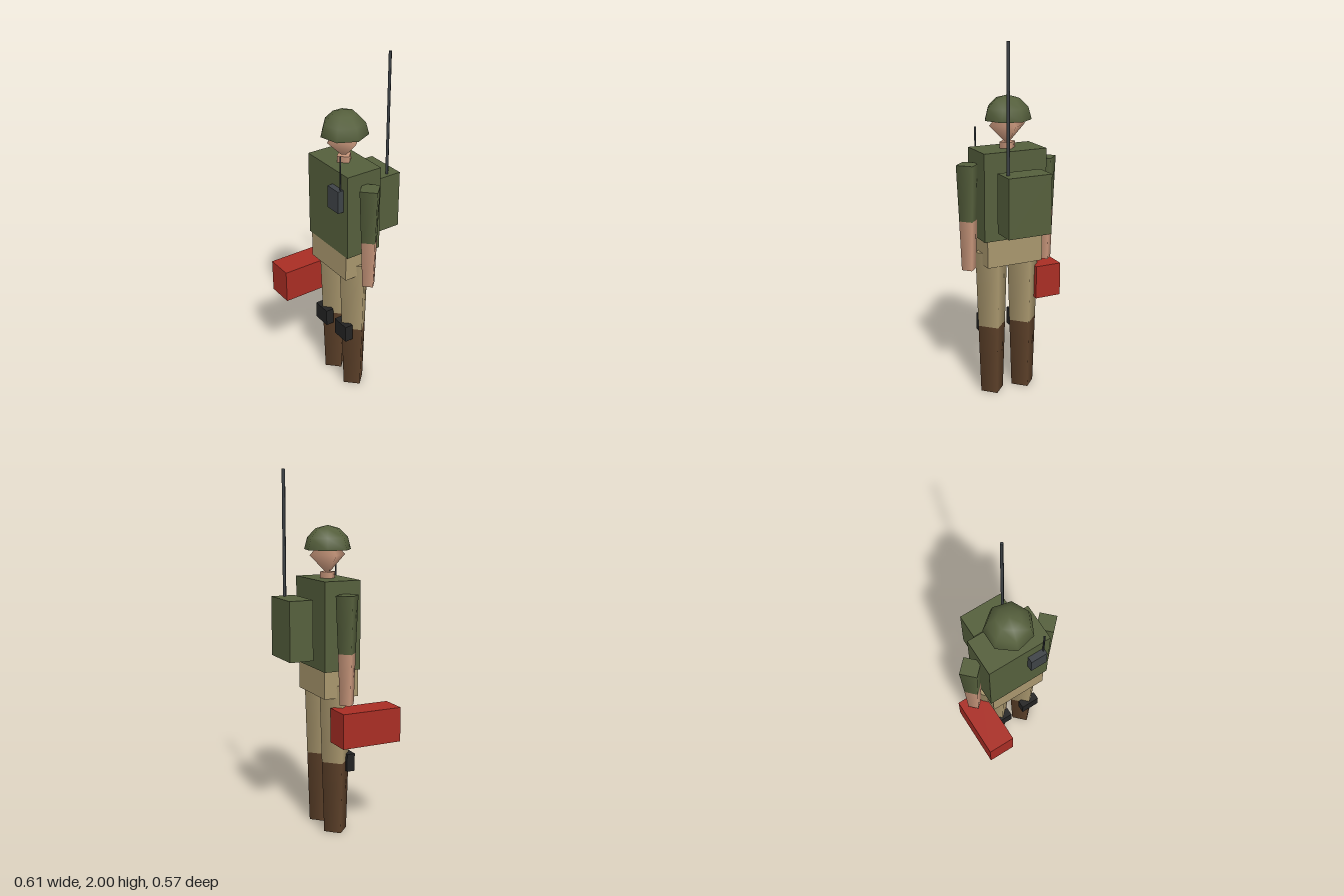
import * as THREE from 'three';

const CX = 0.004, CZ = -0.006; // body axis

function material(name, color) {
  const m = new THREE.MeshStandardMaterial({ color });
  m.name = name;
  return m;
}

export function createModel() {
  const group = new THREE.Group();
  const green = material('olive green', 0x555f3c);
  const tan = material('khaki', 0xa8966d);
  const skin = material('skin', 0xc6957a);
  const brown = material('boot brown', 0x5c4029);
  const black = material('pad black', 0x222222);
  const grey = material('radio grey', 0x3e4347);
  const red = material('case red', 0xa92d24);

  function add(name, geometry, mat, x, y, z) {
    const mesh = new THREE.Mesh(geometry, mat);
    mesh.name = name;
    mesh.position.set(x, y, z);
    group.add(mesh);
    return mesh;
  }
  // box from its limits on each axis
  function box(name, mat, x0, x1, y0, y1, z0, z1) {
    return add(name, new THREE.BoxGeometry(x1 - x0, y1 - y0, z1 - z0), mat,
      (x0 + x1) / 2, (y0 + y1) / 2, (z0 + z1) / 2);
  }
  // smooth, few-sided tapered limb between two heights
  function limb(name, mat, x, z, y0, y1, r0, r1, sides = 4) {
    return add(name, new THREE.CylinderGeometry(r1, r0, y1 - y0, sides), mat, x, (y0 + y1) / 2, z);
  }

  // body
  box('torso', green, -0.18, 0.188, 0.935, 1.42, -0.112, 0.1);
  box('pelvis', tan, -0.163, 0.168, 0.783, 0.935, -0.105, 0.097);
  limb('neck', skin, CX, CZ, 1.4, 1.455, 0.046, 0.046);
  add('head', new THREE.SphereGeometry(0.107, 4, 2), skin, CX, 1.546, CZ);

  // helmet dome and its flat underside
  const dome = new THREE.SphereGeometry(0.131, 7, 3, 0, Math.PI * 2, 0, Math.PI / 2);
  add('helmet', dome.rotateY(Math.PI), green, CX, 1.574, CZ);
  const underside = new THREE.CircleGeometry(0.131, 7);
  add('helmetUnderside', underside.rotateX(Math.PI / 2), green, CX, 1.574, CZ);

  // arms, legs and knee pads
  for (const [side, s] of [['left', 1], ['right', -1]]) {
    const armX = CX + s * 0.2335, legX = CX + s * 0.097;
    limb(side + 'Sleeve', green, armX, CZ, 1.04, 1.35, 0.053, 0.067);
    limb(side + 'Forearm', skin, armX, CZ, 0.76, 1.04, 0.042, 0.053);
    limb(side + 'Leg', tan, legX, CZ, 0.41, 0.85, 0.083, 0.097);
    limb(side + 'Boot', brown, legX, CZ, 0, 0.41, 0.069, 0.083);
    box(side + 'KneePad', black, legX - 0.055, legX + 0.055, 0.35, 0.45, 0.041, 0.088);
  }

  // backpack with long aerial
  box('backpack', green, -0.121, 0.13, 0.993, 1.32, -0.287, -0.152);
  limb('backpackAerial', grey, 0.101, -0.22, 1.32, 2, 0.01, 0.01);

  // chest radio with short aerial
  box('radio', grey, 0.053, 0.15, 1.205, 1.332, 0.1, 0.135);
  limb('radioAerial', grey, 0.14, 0.111, 1.33, 1.525, 0.006, 0.006, 3).rotation.y = Math.PI / 2;

  // carried case
  box('case', red, -0.306, -0.152, 0.538, 0.73, -0.064, 0.285);

  return group;
}
